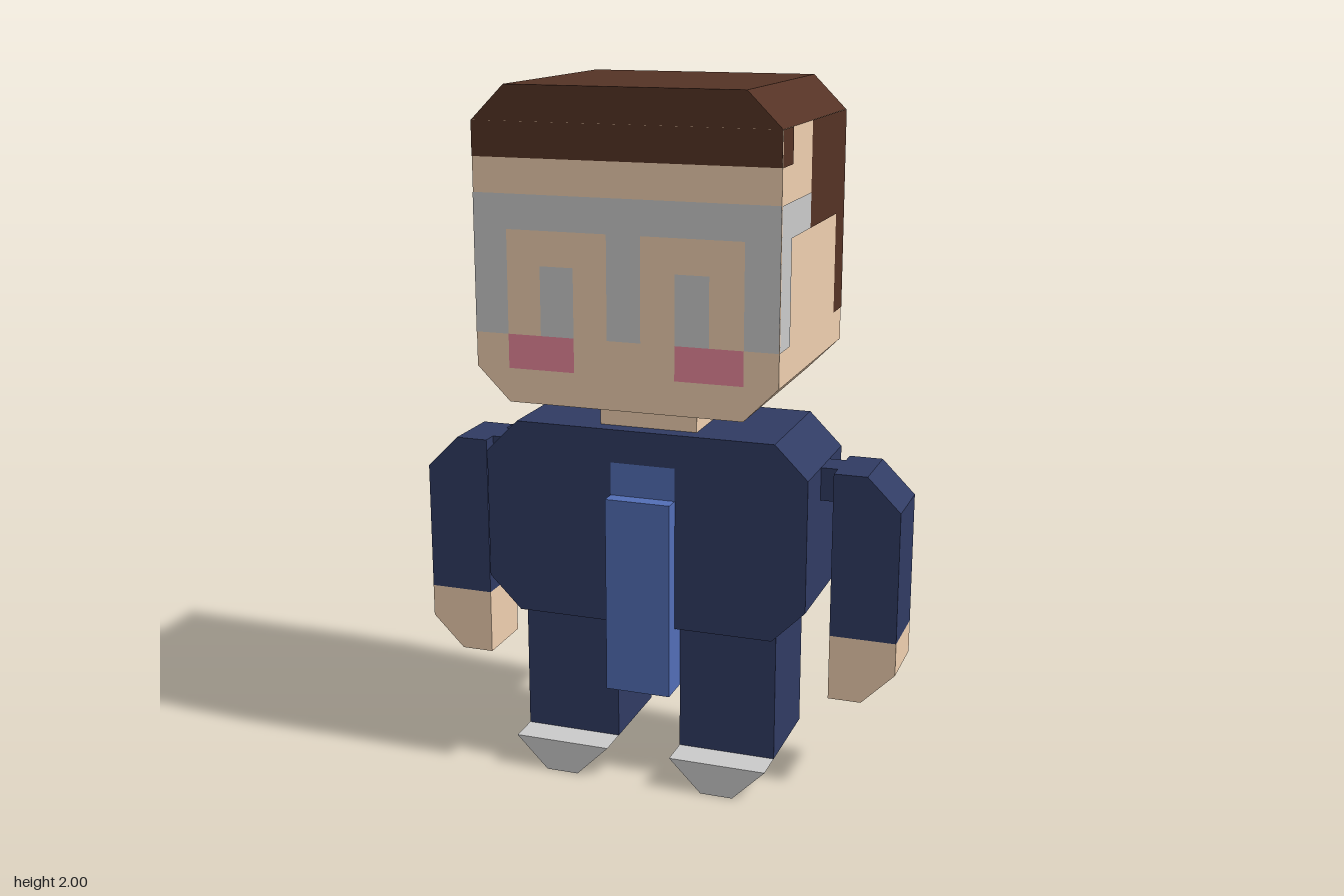
import * as THREE from 'three';

const U = 2 / 21; // one grid cell; the figure is 21 cells tall

const mat = (color) => new THREE.MeshStandardMaterial({ color });

export function createModel() {
  const skin = mat(0xf0d0b0), hair = mat(0x553325), suit = mat(0x303b63);
  const blue = mat(0x536eb7), blush = mat(0xe9889c), grey = mat(0xcccccc);

  const group = (name, parent) => {
    const g = new THREE.Group();
    g.name = name;
    if (parent) parent.add(g);
    return g;
  };
  const add = (parent, name, geometry, material) => {
    const mesh = new THREE.Mesh(geometry.scale(U, U, U), material);
    mesh.name = name;
    parent.add(mesh);
  };
  // Front outline [x, y] extruded from z0 to z1, in cells
  const prism = (parent, name, material, points, z0, z1) => {
    const shape = new THREE.Shape(points.map(([x, y]) => new THREE.Vector2(x, y)));
    const geometry = new THREE.ExtrudeGeometry(shape, { depth: z1 - z0, bevelEnabled: false });
    add(parent, name, geometry.translate(0, 0, z0), material);
  };
  const box = (parent, name, material, x0, x1, y0, y1, z0, z1) => {
    const geometry = new THREE.BoxGeometry(x1 - x0, y1 - y0, z1 - z0);
    add(parent, name, geometry.translate((x0 + x1) / 2, (y0 + y1) / 2, (z0 + z1) / 2), material);
  };
  // Flat colour patch lying on a wall; turn rotates it about y, dist is the wall's distance
  const patch = (parent, name, material, turn, dist, a0, a1, y0, y1) => {
    const geometry = new THREE.PlaneGeometry(a1 - a0, y1 - y0);
    geometry.translate((a0 + a1) / 2, (y0 + y1) / 2, dist + 0.02).rotateY(turn);
    add(parent, name, geometry, material);
  };

  const model = group('figure');

  // Head with chamfered lower edges and a hair cap
  const head = group('head', model);
  prism(head, 'face', skin, [[-3.5, 12], [3.5, 12], [4.5, 13], [4.5, 20], [-4.5, 20], [-4.5, 13]], -3.5, 3.5);
  prism(head, 'hairCap', hair, [[-4.5, 20], [4.5, 20], [3.5, 21], [-3.5, 21]], -3.5, 3.5);
  patch(head, 'fringe', hair, 0, 3.5, -4.5, 4.5, 19, 20);
  patch(head, 'backHair', hair, Math.PI, 3.5, -4.5, 4.5, 14, 20);

  // Glasses front
  patch(head, 'glassesBrow', grey, 0, 3.5, -4.5, 4.5, 17, 18);
  patch(head, 'glassesBridge', grey, 0, 3.5, -0.5, 0.5, 14, 17);

  for (const s of [-1, 1]) {
    const side = s > 0 ? 'left' : 'right';
    const span = (a, b) => (s > 0 ? [a, b] : [-b, -a]);

    // Front features of each side
    patch(head, side + 'GlassesRim', grey, 0, 3.5, ...span(3.5, 4.5), 14, 17);
    patch(head, side + 'Eye', grey, 0, 3.5, ...span(1.5, 2.5), 14, 16);
    patch(head, side + 'Cheek', blush, 0, 3.5, ...span(1.5, 3.5), 13, 14);

    // Side features: z ranges, turned onto the side wall
    const onSide = (name, material, z0, z1, y0, y1) => {
      const [a, b] = s > 0 ? [-z1, -z0] : [z0, z1];
      patch(head, side + name, material, s * Math.PI / 2, 4.5, a, b, y0, y1);
    };
    onSide('Fringe', hair, 2.5, 3.5, 19, 20);
    onSide('SideHair', hair, -3.5, 0.5, 17, 20);
    onSide('NapeHair', hair, -3.5, -2.5, 14, 17);
    onSide('GlassesTemple', grey, 0.5, 3.5, 17, 18);
    onSide('GlassesEdge', grey, 2.5, 3.5, 14, 17);

    // Arm: shoulder link, sleeve and hand
    const flip = (points) => points.map(([x, y]) => [s * x, y]);
    const arm = group(side + 'Arm', model);
    box(arm, 'shoulderLink', suit, ...span(5, 5.5), 9, 10, -0.5, 0.5);
    prism(arm, 'sleeve', suit, flip([[5.5, 5], [7.5, 5], [7.5, 9], [6.5, 10], [5.5, 10]]), -1, 1);
    prism(arm, 'hand', skin, flip([[5.5, 3], [6.5, 3], [7.5, 4], [7.5, 5], [5.5, 5]]), -1, 1);

    // Leg and tapered shoe
    const leg = group(side + 'Leg', model);
    box(leg, 'trouser', suit, ...span(1, 4), 1, 5, -1.5, 1.5);
    prism(leg, 'shoe', grey, flip([[2, 0], [3, 0], [4, 1], [1, 1]]), -1.5, 2.5);
  }

  // Body
  box(model, 'neck', skin, -1.5, 1.5, 11, 12, -1.5, 1.5);
  prism(model, 'torso', suit,
    [[-4, 5], [4, 5], [5, 6], [5, 10], [4, 11], [-4, 11], [-5, 10], [-5, 6]], -2, 2);

  // Long tie with a flat knot
  patch(model, 'tieKnot', blue, 0, 2, -1, 1, 9, 10);
  box(model, 'tie', blue, -1, 1, 3, 9, 1.5, 2.5);

  return model;
}
